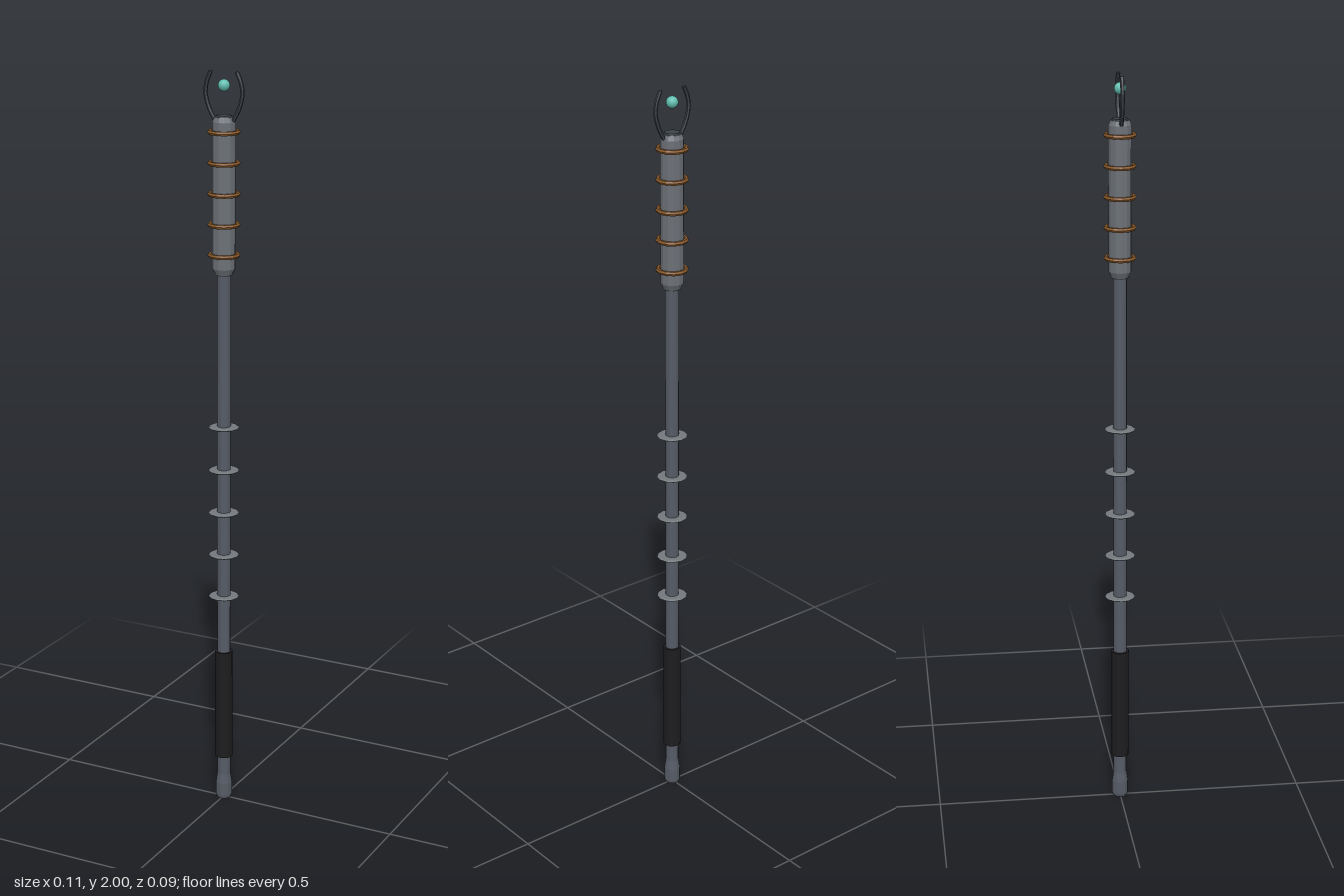
import * as THREE from 'three';

const mat = (name, color) => {
  const m = new THREE.MeshStandardMaterial({ color, flatShading: true });
  m.name = name;
  return m;
};

export function createModel() {
  const steel = mat('steel', 0x565b66);
  const casing = mat('casing grey', 0x6c7177);
  const copper = mat('copper', 0x8a5a2b);
  const plate = mat('plate grey', 0x74797e);
  const dark = mat('dark metal', 0x3c4248);
  const black = mat('black grip', 0x1d1d1f);
  const glow = mat('teal crystal', 0x62bfb0);
  glow.flatShading = false;

  const model = new THREE.Group();
  const add = (name, geo, material, y = 0) => {
    const mesh = new THREE.Mesh(geo, material);
    mesh.name = name;
    mesh.position.y = y;
    model.add(mesh);
    return mesh;
  };
  const lathe = (pts, sides = 12) =>
    new THREE.LatheGeometry(pts.map(([r, y]) => new THREE.Vector2(r, y)), sides);

  // Shaft and swollen foot
  add('shaft', new THREE.CylinderGeometry(0.018, 0.018, 1.43, 12), steel, 0.785);
  add('pommel', lathe([[0, 0], [0.019, 0], [0.022, 0.008], [0.022, 0.045], [0.018, 0.072], [0, 0.072]]), steel);

  // Handle wrap
  add('grip', new THREE.CylinderGeometry(0.024, 0.024, 0.31, 12), black, 0.28);

  // Thin plates along the middle of the shaft
  for (let i = 0; i < 5; i++) {
    add('shaftPlate', lathe([[0.018, -0.003], [0.036, -0.003], [0.041, 0], [0.036, 0.003], [0.018, 0.003]]),
      plate, 0.595 + i * 0.1185);
  }

  // Head casing with bevelled ends and copper coils
  add('headCasing', lathe([[0, 1.478], [0.022, 1.478], [0.03, 1.495], [0.03, 1.872], [0.024, 1.884], [0, 1.884]]), casing);
  add('headCap', new THREE.CylinderGeometry(0.02, 0.022, 0.006, 12), dark, 1.885);
  for (let i = 0; i < 5; i++) {
    const coil = add('copperCoil', new THREE.TorusGeometry(0.0365, 0.006, 6, 12), copper, 1.53 + i * 0.079);
    coil.rotation.x = Math.PI / 2;
  }

  // Curved prongs around the floating crystal
  for (const s of [-1, 1]) {
    const path = new THREE.CatmullRomCurve3(
      [[0.024, 1.872], [0.042, 1.905], [0.052, 1.942], [0.048, 1.972], [0.037, 1.997]]
        .map(([x, y]) => new THREE.Vector3(s * x, y, 0)));
    add(s > 0 ? 'leftProng' : 'rightProng', new THREE.TubeGeometry(path, 12, 0.0055, 6), dark);
    // Closed prong tip
    const tip = add('prongTip', new THREE.ConeGeometry(0.0055, 0.003, 6), dark, 1.9985);
    tip.position.x = s * 0.0365;
  }
  add('crystal', new THREE.SphereGeometry(0.0155, 16, 12), glow, 1.963);

  return model;
}
